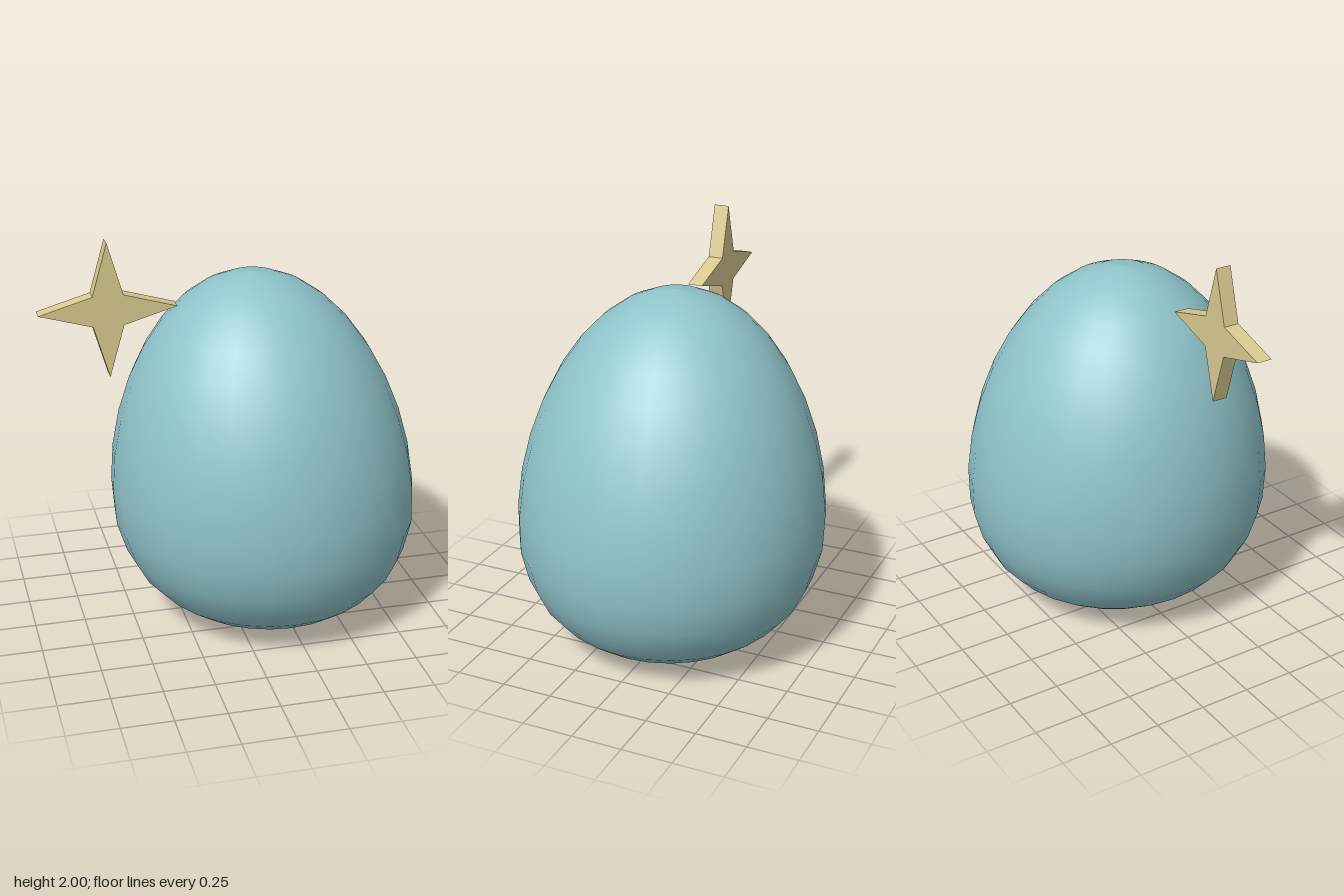
import * as THREE from 'three';

const teal = new THREE.MeshStandardMaterial({ name: 'teal shell', color: 0x8fc4ca });
const gold = new THREE.MeshStandardMaterial({ name: 'pale gold', color: 0xd9ca90 });

// Smooth egg with a flattened base, leaning slightly towards -x
function makeEgg() {
  const profile = [
    [0, 0.004], [0.125, 0.01], [0.25, 0.025], [0.36, 0.047], [0.475, 0.09], [0.57, 0.16],
    [0.65, 0.25], [0.71, 0.37], [0.75, 0.52],
  ].map(([r, y]) => new THREE.Vector2(r, y));
  // Upper part: stretched dome from the widest ring to the tip
  for (let i = 9; i >= 0; i--) {
    const a = THREE.MathUtils.degToRad(i * 10);
    const r = i === 0 ? 0 : Math.sin(a) * (0.695 + 0.06 * (1 - Math.cos(a)));
    profile.push(new THREE.Vector2(r, 0.7 + 1.08 * Math.cos(a)));
  }
  const geometry = new THREE.LatheGeometry(profile, 28);
  // Shear sideways so every ring stays level
  geometry.applyMatrix4(new THREE.Matrix4().set(
    1, -0.05, 0, 0.205,
    0, 1, 0, 0,
    0, 0, 1, 0,
    0, 0, 0, 1,
  ));
  const egg = new THREE.Mesh(geometry, teal);
  egg.name = 'egg';
  return egg;
}

// Four-pointed sparkle with a flat thickness
function makeSparkle() {
  const outer = 0.325, inner = 0.103, depth = 0.075;
  const points = [];
  for (let i = 0; i < 8; i++) {
    const a = (i * Math.PI) / 4;
    const r = i % 2 ? inner : outer;
    points.push(new THREE.Vector2(Math.cos(a) * r, Math.sin(a) * r));
  }
  const geometry = new THREE.ExtrudeGeometry(new THREE.Shape(points), { depth, bevelEnabled: false });
  const sparkle = new THREE.Mesh(geometry, gold);
  sparkle.name = 'sparkle';
  sparkle.position.set(-0.6, 1.675, 0.043);
  return sparkle;
}

export function createModel() {
  const model = new THREE.Group();
  model.name = 'egg with sparkle';
  model.add(makeEgg(), makeSparkle());
  return model;
}
